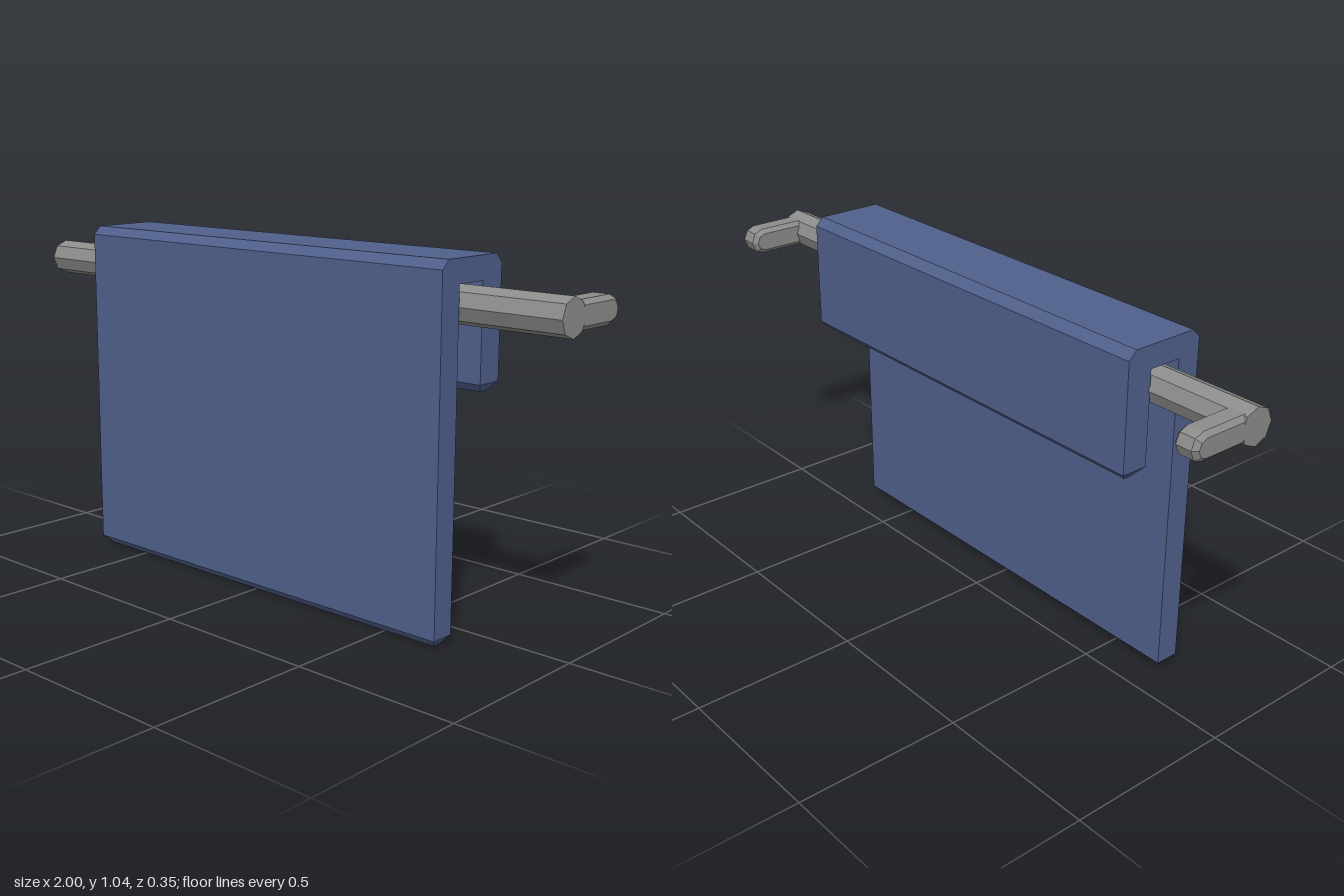
import * as THREE from 'three';

const metal = new THREE.MeshStandardMaterial({ color: 0x8c8c8a, flatShading: true });
const cloth = new THREE.MeshStandardMaterial({ color: 0x4f608b, flatShading: true });

// Cloth folded over the bar: cross-sections swept from the front hem to the back hem.
// Each station is [half width, outer z, outer y, inner z, inner y].
function clothGeometry() {
  const stations = [
    [0.67, 0.15, 0, 0.127, 0],
    [0.69, 0.175, 0.025, 0.102, 0.025],
    [0.69, 0.175, 1.02, 0.102, 0.977],
    [0.69, 0.15, 1.045, 0.102, 0.977],
    [0.69, -0.057, 1.045, 0, 0.977],
    [0.69, -0.082, 1.02, 0, 0.977],
    [0.69, -0.082, 0.698, 0, 0.698],
    [0.67, -0.057, 0.673, -0.027, 0.673],
  ];
  const positions = [];
  const index = [];
  for (const [w, oz, oy, iz, iy] of stations) {
    positions.push(-w, oy, oz, w, oy, oz, w, iy, iz, -w, iy, iz);
  }
  const last = (stations.length - 1) * 4;
  for (let s = 0; s < last; s += 4) {
    for (let j = 0; j < 4; j++) {
      const k = (j + 1) % 4;
      index.push(s + j, s + k, s + 4 + k, s + j, s + 4 + k, s + 4 + j);
    }
  }
  // Hem ends
  index.push(0, 2, 1, 0, 3, 2);
  index.push(last, last + 1, last + 2, last, last + 2, last + 3);

  const indexed = new THREE.BufferGeometry();
  indexed.setAttribute('position', new THREE.Float32BufferAttribute(positions, 3));
  indexed.setIndex(index);
  const geometry = indexed.toNonIndexed();
  geometry.computeVertexNormals();
  return geometry;
}

// Bracket arm: bevelled outline with a faceted round end, running back from the bar.
function bracketGeometry() {
  const bevel = 0.013;
  const width = 0.075;
  const r = 0.027;
  const endCentre = 0.13;
  const shape = new THREE.Shape();
  shape.moveTo(-0.002, -r);
  for (let i = 0; i <= 4; i++) {
    const a = -Math.PI / 2 + (i * Math.PI) / 4;
    shape.lineTo(endCentre + r * Math.cos(a), r * Math.sin(a));
  }
  shape.lineTo(-0.002, r);
  shape.closePath();
  const geometry = new THREE.ExtrudeGeometry(shape, {
    depth: width - 2 * bevel,
    bevelEnabled: true,
    bevelThickness: bevel,
    bevelSize: bevel,
    bevelSegments: 1,
  });
  geometry.translate(0, 0, bevel - width / 2);
  geometry.rotateY(Math.PI / 2); // outline now runs towards -z, thickness along x
  return geometry;
}

export function createModel() {
  const model = new THREE.Group();
  model.name = 'towelOnRail';
  const barY = 0.917;

  const towel = new THREE.Mesh(clothGeometry(), cloth);
  towel.name = 'towel';
  model.add(towel);

  // Octagonal rail
  const rail = new THREE.Mesh(new THREE.CylinderGeometry(0.054, 0.054, 2, 8), metal);
  rail.name = 'rail';
  rail.rotation.z = Math.PI / 2;
  rail.position.set(0, barY, 0.048);
  model.add(rail);

  // Wall brackets at both ends of the rail
  const arm = bracketGeometry();
  for (const [side, name] of [[1, 'leftBracket'], [-1, 'rightBracket']]) {
    const bracket = new THREE.Mesh(arm, metal);
    bracket.name = name;
    bracket.position.set(side * 0.9625, barY, 0);
    model.add(bracket);
  }
  return model;
}
